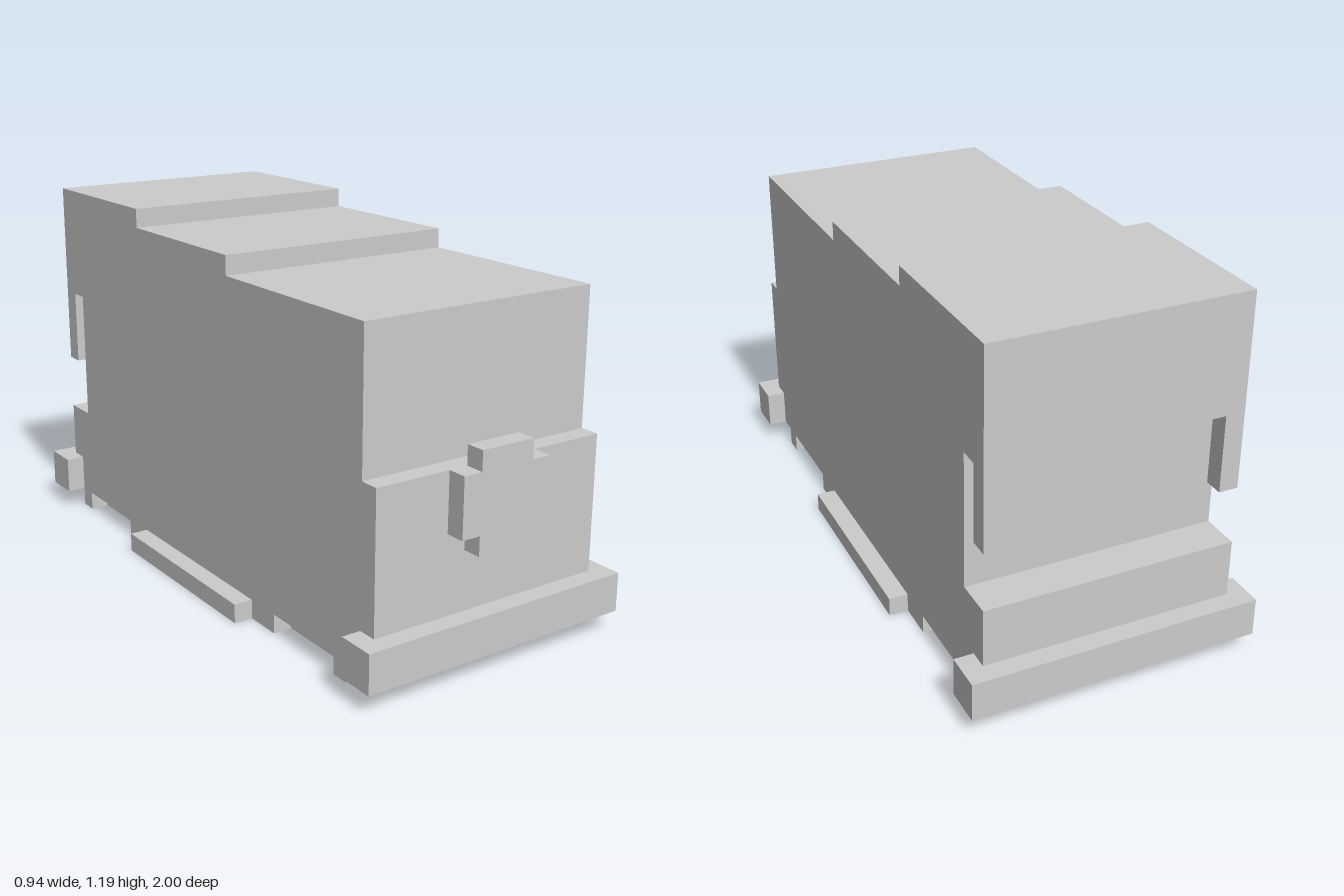
import * as THREE from 'three';

// All dimensions below are in block units; 16 blocks make one model unit.
const U = 1 / 16;
const material = new THREE.MeshStandardMaterial({ color: 0xcccccc, flatShading: true });

function addMesh(parent, name, geometry) {
  geometry.scale(U, U, U);
  const mesh = new THREE.Mesh(geometry, material);
  mesh.name = name;
  parent.add(mesh);
}

// Box given by its minimum and maximum corners
function addBox(parent, name, [x0, y0, z0], [x1, y1, z1]) {
  const g = new THREE.BoxGeometry(x1 - x0, y1 - y0, z1 - z0);
  g.translate((x0 + x1) / 2, (y0 + y1) / 2, (z0 + z1) / 2);
  addMesh(parent, name, g);
}

function extrude(points, depth) {
  const shape = new THREE.Shape(points.map(([a, b]) => new THREE.Vector2(a, b)));
  return new THREE.ExtrudeGeometry(shape, { depth, bevelEnabled: false });
}

// Completes a right-hand outline with its mirror image across x = 0
const mirrored = (half) => [...half, ...half.map(([x, y]) => [-x, y]).reverse()];

export function createModel() {
  const model = new THREE.Group();
  model.name = 'blockMachine';

  // Main body: stepped side profile (z, y) with the rear recess, swept across x
  const body = extrude([
    [15, 1], [15, 10], [14, 10], [14, 17], [3, 17], [3, 18], [-6, 18], [-6, 19],
    [-15, 19], [-15, 13], [-13, 13], [-13, 6], [-15, 6], [-15, 1],
  ], 13);
  body.translate(0, 0, -6.5).rotateY(-Math.PI / 2);
  addMesh(model, 'body', body);

  // Base plate: plan outline (x, z) with side notches and central side steps
  const base = extrude(mirrored([
    [6.5, 13], [6.5, 12], [5.5, 12], [5.5, 7], [6.5, 7], [6.5, 5], [7.5, 5],
    [7.5, -6], [6.5, -6], [6.5, -8], [5.5, -8], [5.5, -13], [6.5, -13], [6.5, -14],
  ]), 1);
  base.rotateX(Math.PI / 2).translate(0, 1, 0);
  addMesh(model, 'basePlate', base);

  // Bumpers wrapping the lower ends
  addBox(model, 'frontBumper', [-7.5, 1, 14], [7.5, 3, 16]);
  addBox(model, 'rearBumper', [-7.5, 1, -16], [7.5, 3, -14]);

  // Notched round plate on the nose
  const plate = extrude(mirrored([
    [1.5, 6], [1.5, 7], [2.5, 7], [2.5, 10], [1.5, 10], [1.5, 11],
  ]), 1);
  plate.translate(0, 0, 15);
  addMesh(model, 'nosePlate', plate);

  // Posts hanging from the rear overhang
  for (const [name, x] of [['leftRearPost', 5.5], ['rightRearPost', -6.5]]) {
    addBox(model, name, [x, 9, -15], [x + 1, 13, -14]);
  }

  return model;
}
